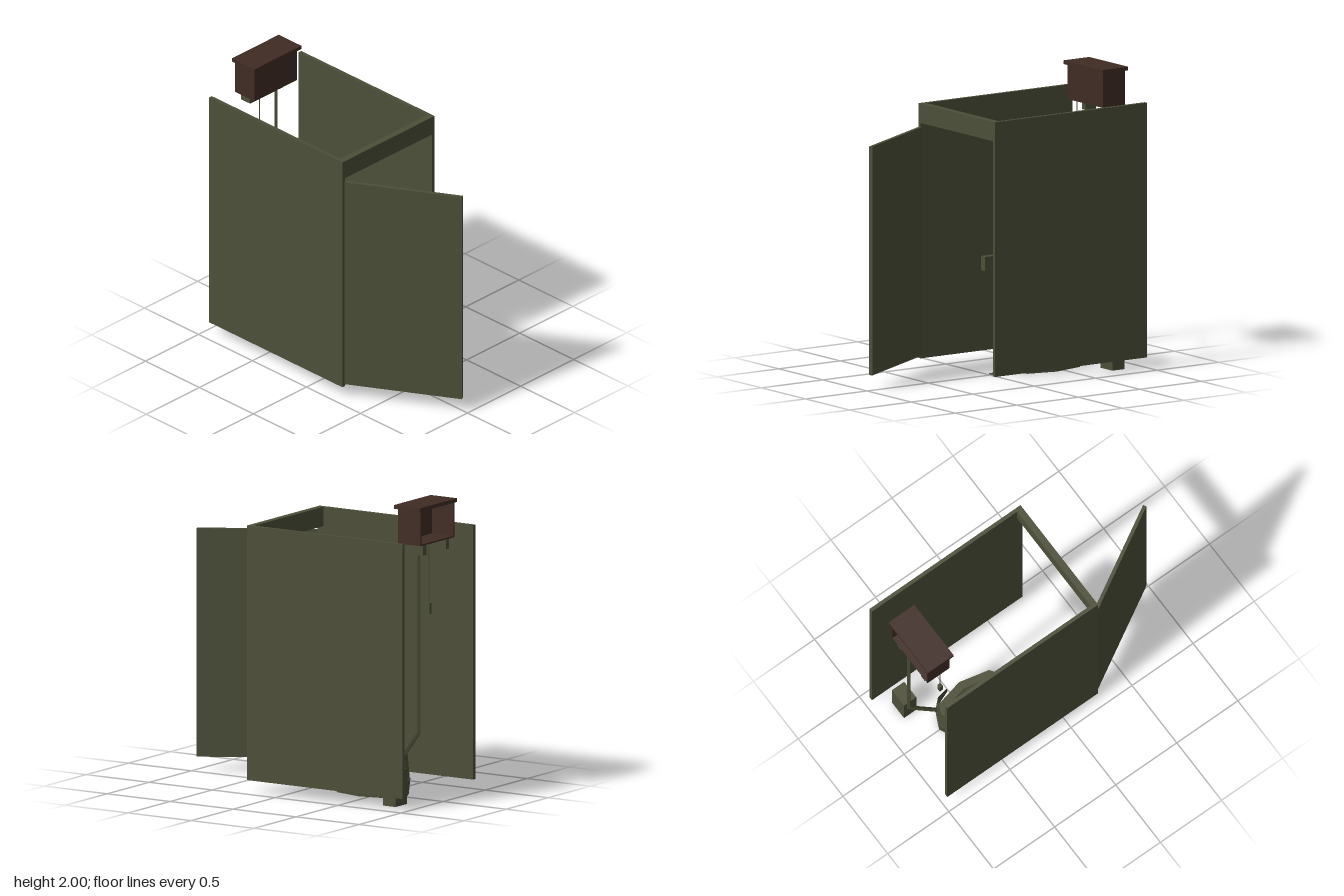
import * as THREE from 'three';

const mat = (name, color, side = THREE.FrontSide) => {
  const m = new THREE.MeshStandardMaterial({ color, side, flatShading: true });
  m.name = name;
  return m;
};

// Box given by its extents on each axis
function box(name, [x0, x1], [y0, y1], [z0, z1], material) {
  const g = new THREE.BoxGeometry(x1 - x0, y1 - y0, z1 - z0);
  g.translate((x0 + x1) / 2, (y0 + y1) / 2, (z0 + z1) / 2);
  const m = new THREE.Mesh(g, material);
  m.name = name;
  return m;
}

// Straight rod between two points
function rod(name, a, b, radius, sides, material) {
  const p = new THREE.Vector3(...a), q = new THREE.Vector3(...b);
  const m = new THREE.Mesh(new THREE.CylinderGeometry(radius, radius, p.distanceTo(q), sides), material);
  m.position.copy(p).add(q).multiplyScalar(0.5);
  m.quaternion.setFromUnitVectors(new THREE.Vector3(0, 1, 0), q.sub(p).normalize());
  m.name = name;
  return m;
}

// Skin through rings of points with equal counts
function loft(name, rings, closed, material) {
  const pos = [], n = rings[0].length;
  for (let r = 0; r < rings.length - 1; r++) {
    for (let i = 0; i < (closed ? n : n - 1); i++) {
      const j = (i + 1) % n;
      const a = rings[r][i], b = rings[r][j], c = rings[r + 1][j], d = rings[r + 1][i];
      pos.push(...a, ...c, ...b, ...a, ...d, ...c);
    }
  }
  const g = new THREE.BufferGeometry();
  g.setAttribute('position', new THREE.Float32BufferAttribute(pos, 3));
  g.computeVertexNormals();
  const m = new THREE.Mesh(g, material);
  m.name = name;
  return m;
}

export function createModel() {
  const green = mat('olive', 0x4c4f38);
  const greenOpen = mat('olive open', 0x4c4f38, THREE.DoubleSide);
  const brown = mat('dark brown', 0x402c24);
  const model = new THREE.Group();
  model.name = 'toiletStall';

  // Cubicle walls and the beam over the doorway
  model.add(
    box('rightWall', [-0.435, -0.41], [0.08, 1.79], [-0.965, 0.27], green),
    box('leftWall', [0.408, 0.433], [0.08, 1.79], [-0.965, 0.27], green),
    box('header', [-0.41, 0.408], [1.66, 1.79], [0.225, 0.27], green)
  );

  // Door standing open, hinged on the right wall
  const door = new THREE.Group();
  door.name = 'door';
  door.add(box('doorPanel', [0, 0.8], [0.1, 1.635], [-0.012, 0.012], green));
  door.position.set(-0.41, 0, 0.27);
  door.rotation.y = -Math.PI / 3;
  model.add(door);

  // High cistern, open at the back
  const cistern = new THREE.Group();
  cistern.name = 'cistern';
  cistern.add(
    box('cisternLid', [-0.22, 0.22], [1.975, 2], [-0.965, -0.755], brown),
    box('cisternFront', [-0.2, 0.2], [1.74, 1.975], [-0.785, -0.775], brown),
    box('cisternBottom', [-0.2, 0.2], [1.74, 1.75], [-0.955, -0.785], brown)
  );
  for (const s of [-1, 1]) {
    cistern.add(
      box('cisternSide', [s * 0.195 - 0.005, s * 0.195 + 0.005], [1.75, 1.975], [-0.955, -0.785], brown),
      box('bracket', [s * 0.135 - 0.02, s * 0.135 + 0.02], [1.67, 1.74], [-0.945, -0.86], green)
    );
  }
  model.add(cistern);

  // Flush pipe, pull chain and handle
  model.add(
    rod('flushPipe', [0.11, 1.74, -0.88], [0.11, 0.46, -0.88], 0.014, 4, green),
    rod('flushPipeElbow', [0.11, 0.465, -0.88], [0.05, 0.26, -0.7], 0.014, 4, green),
    rod('chain', [-0.13, 1.74, -0.8], [-0.13, 1.29, -0.8], 0.004, 4, green),
    box('chainHandle', [-0.143, -0.117], [1.22, 1.295], [-0.813, -0.787], green)
  );

  // Eight-sided bowl: outer wall, flat rim, then a sunken basin
  const ring = (y, halfW, z0, z1) => {
    const at = (t) => z0 + (z1 - z0) * t;
    return [[0, 0], [0.66, 0.09], [1, 0.5], [0.7, 0.86], [0, 1], [-0.7, 0.86], [-1, 0.5], [-0.66, 0.09]]
      .map(([x, t]) => [x * halfW, y, at(t)]);
  };
  model.add(loft('bowl', [
    ring(0, 0.153, -0.71, -0.15),
    ring(0.11, 0.162, -0.722, -0.14),
    ring(0.11, 0.105, -0.655, -0.2),
    ring(0.05, 0.062, -0.55, -0.26),
    ring(0.035, 0.001, -0.42, -0.418)
  ], true, greenOpen));

  // Raised shell behind the bowl
  const arc = (y, corner, end, zMid) => [
    [-end[0], y, end[1]], [-corner[0], y, corner[1]], [0, y, zMid],
    [corner[0], y, corner[1]], [end[0], y, end[1]]
  ];
  model.add(loft('backShell', [
    arc(0.11, [0.1, -0.668], [0.155, -0.53], -0.715),
    arc(0.275, [0.108, -0.645], [0.125, -0.56], -0.695)
  ], false, greenOpen));

  // Small fittings
  model.add(
    box('wasteBin', [0.205, 0.34], [0, 0.24], [-0.85, -0.75], green),
    box('paperHolder', [-0.41, -0.365], [0.62, 0.715], [-0.34, -0.22], green),
    box('floorDrain', [-0.035, 0.035], [0, 0.006], [-0.085, -0.015], green)
  );
  return model;
}
